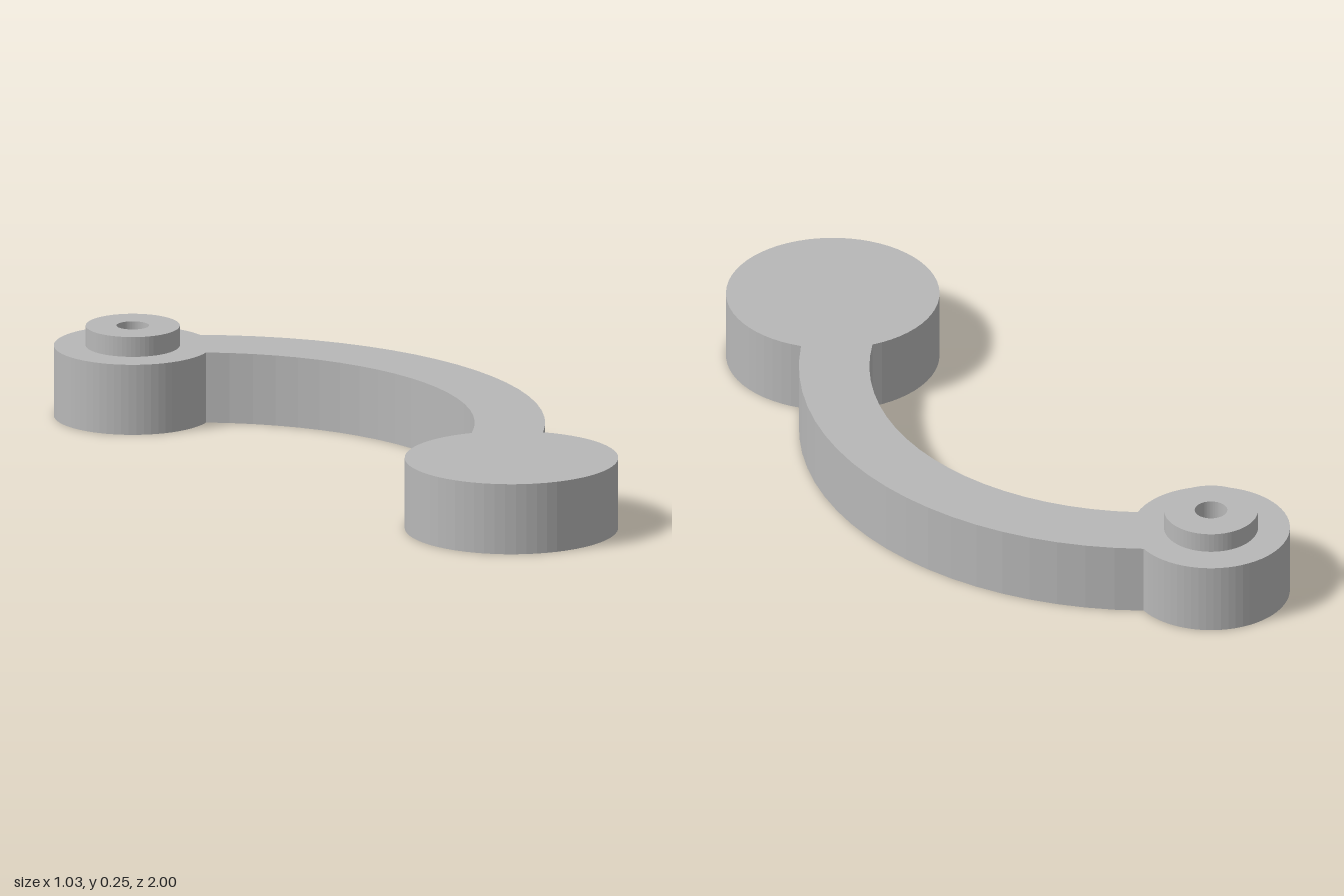
import * as THREE from 'three';

const THICKNESS = 0.195;
const BOSS_HEIGHT = 0.055;

// Plan coordinates: x to the right, y towards the back (-z).
const arcCentre = new THREE.Vector2(-0.445, -0.055);
const outerRadius = 0.95, innerRadius = 0.76;
const smallEnd = { c: new THREE.Vector2(-0.305, 0.787), r: 0.213 };
const largeEnd = { c: new THREE.Vector2(0.228, -0.71), r: 0.288 };

// Point where an arm edge of radius R meets an end disc; side picks one of the two
function meet(R, disc, side) {
  const v = disc.c.clone().sub(arcCentre);
  const d = v.length();
  const a = (R * R - disc.r * disc.r + d * d) / (2 * d);
  const h = Math.sqrt(R * R - a * a) * side;
  v.divideScalar(d);
  return new THREE.Vector2(arcCentre.x + v.x * a - v.y * h, arcCentre.y + v.y * a + v.x * h);
}

// Points along an arc from p to q, counter-clockwise (dir 1) or clockwise (dir -1)
function arc(c, r, p, q, dir, n) {
  const a = Math.atan2(p.y - c.y, p.x - c.x);
  let sweep = Math.atan2(q.y - c.y, q.x - c.x) - a;
  if (sweep * dir < 0) sweep += dir * Math.PI * 2;
  return Array.from({ length: n }, (_, i) => {
    const t = a + sweep * i / n;
    return new THREE.Vector2(c.x + r * Math.cos(t), c.y + r * Math.sin(t));
  });
}

// Extrude a plan shape upwards from height y
function plate(name, shape, height, y, material) {
  const geo = new THREE.ExtrudeGeometry(shape, { depth: height, bevelEnabled: false, curveSegments: 32 });
  geo.rotateX(-Math.PI / 2);
  const mesh = new THREE.Mesh(geo, material);
  mesh.name = name;
  mesh.position.y = y;
  return mesh;
}

export function createModel() {
  const group = new THREE.Group();
  group.name = 'curvedLever';
  const grey = new THREE.MeshStandardMaterial({ color: 0xb8b8b8 });
  grey.name = 'grey';

  // Curved arm with a round pad at each end, as one outline
  const largeOuter = meet(outerRadius, largeEnd, 1);
  const smallOuter = meet(outerRadius, smallEnd, -1);
  const smallInner = meet(innerRadius, smallEnd, -1);
  const largeInner = meet(innerRadius, largeEnd, 1);
  const outline = [
    ...arc(arcCentre, outerRadius, largeOuter, smallOuter, 1, 20),
    ...arc(smallEnd.c, smallEnd.r, smallOuter, smallInner, 1, 56),
    ...arc(arcCentre, innerRadius, smallInner, largeInner, -1, 20),
    ...arc(largeEnd.c, largeEnd.r, largeInner, largeOuter, 1, 56),
  ];
  group.add(plate('armWithPads', new THREE.Shape(outline), THICKNESS, 0, grey));

  // Raised boss with a round hole on the small pad
  const ring = new THREE.Shape().absarc(smallEnd.c.x, smallEnd.c.y, 0.127, 0, Math.PI * 2, false);
  ring.holes.push(new THREE.Path().absarc(smallEnd.c.x, smallEnd.c.y, 0.044, 0, Math.PI * 2, true));
  group.add(plate('boss', ring, BOSS_HEIGHT, THICKNESS, grey));

  return group;
}
